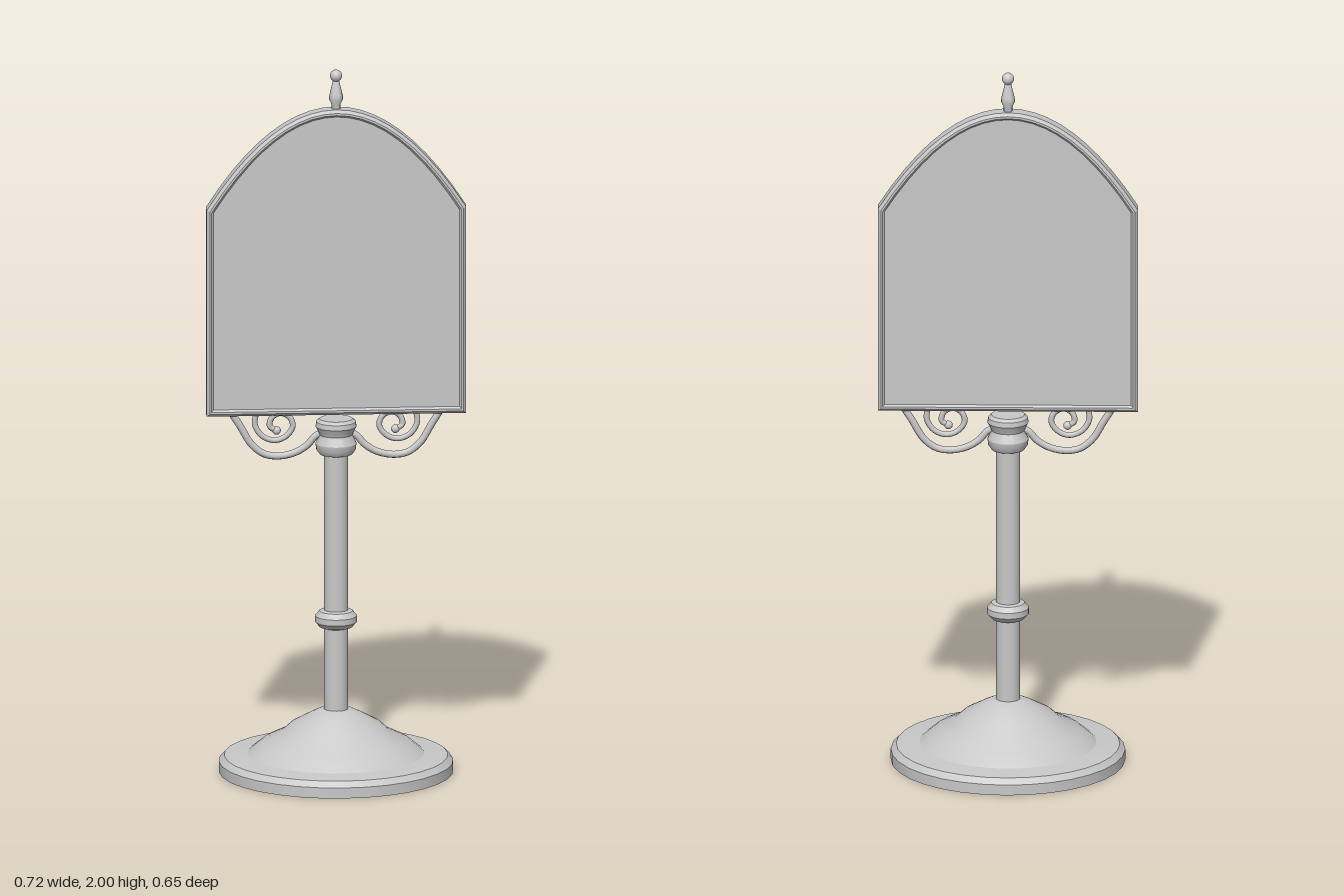
import * as THREE from 'three';
import { toCreasedNormals } from 'three/addons/utils/BufferGeometryUtils.js';

const grey = new THREE.MeshStandardMaterial({ color: 0xc8c8c8 });
grey.name = 'grey metal';

function part(name, geometry) {
  const mesh = new THREE.Mesh(geometry, grey);
  mesh.name = name;
  return mesh;
}

// Turned part from [radius, height] pairs, listed bottom to top
function turned(name, profile, segments = 32, crease = 0.55) {
  const points = profile.map(([r, y]) => new THREE.Vector2(r, y));
  return part(name, toCreasedNormals(new THREE.LatheGeometry(points, segments), crease));
}

// Outline with straight sides and a pointed-shoulder arch
function arch(Type, halfWidth, bottom, shoulder, top) {
  const outline = new Type();
  outline.moveTo(-halfWidth, bottom);
  outline.lineTo(halfWidth, bottom);
  outline.lineTo(halfWidth, shoulder);
  outline.quadraticCurveTo(0, 2 * top - shoulder, -halfWidth, shoulder);
  outline.lineTo(-halfWidth, bottom);
  return outline;
}

function tube(name, points, radius) {
  const curve = new THREE.CatmullRomCurve3(points.map(([x, y]) => new THREE.Vector3(x, y, 0)));
  return part(name, new THREE.TubeGeometry(curve, 48, radius, 8));
}

export function createModel() {
  const group = new THREE.Group();
  group.name = 'signStand';

  // Flared foot
  group.add(turned('base', [
    [0, 0], [0.325, 0], [0.325, 0.03], [0.31, 0.046], [0.245, 0.052], [0.205, 0.085],
    [0.15, 0.112], [0.125, 0.135], [0.07, 0.165], [0.045, 0.177], [0, 0.178],
  ]));

  // Post, its ring and the capital
  const post = part('post', new THREE.CylinderGeometry(0.033, 0.033, 0.78, 24));
  post.position.y = 0.55;
  group.add(post);
  group.add(turned('postRing', [
    [0.033, 0.408], [0.046, 0.412], [0.058, 0.426], [0.058, 0.443], [0.046, 0.457], [0.033, 0.46],
  ]));
  group.add(turned('capital', [
    [0, 0.905], [0.046, 0.905], [0.055, 0.918], [0.057, 0.935], [0.05, 0.95], [0.046, 0.96],
    [0.05, 0.97], [0.057, 0.983], [0.055, 0.997], [0.046, 1.005], [0, 1.005],
  ]));

  // Bevelled frame with an opening
  const frameShape = arch(THREE.Shape, 0.352, 1.028, 1.606, 1.882);
  frameShape.holes.push(arch(THREE.Path, 0.347, 1.034, 1.603, 1.876));
  const frame = new THREE.ExtrudeGeometry(frameShape, {
    depth: 0.04, bevelThickness: 0.01, bevelSize: 0.008, bevelSegments: 1, curveSegments: 20,
  });
  frame.translate(0, 0, -0.02);
  group.add(part('frame', toCreasedNormals(frame, 0.4)));

  // Flat panel, visible from both sides
  const panel = new THREE.ExtrudeGeometry(arch(THREE.Shape, 0.35, 1.03, 1.605, 1.88), {
    depth: 0.046, bevelEnabled: false, curveSegments: 20,
  });
  panel.translate(0, 0, -0.023);
  group.add(part('panel', panel));

  // Scroll brackets on both sides of the capital
  for (const side of [1, -1]) {
    const bracket = new THREE.Group();
    bracket.name = side > 0 ? 'leftBracket' : 'rightBracket';
    const mirror = (points) => points.map(([x, y]) => [x * side, y]);
    bracket.add(tube('arm', mirror([
      [0.29, 1.025], [0.265, 0.985], [0.235, 0.935], [0.2, 0.907], [0.16, 0.9],
      [0.115, 0.909], [0.08, 0.93], [0.058, 0.955], [0.04, 0.965],
    ]), 0.01));
    bracket.add(tube('scroll', mirror([
      [0.222, 1.025], [0.225, 0.99], [0.205, 0.958], [0.17, 0.945], [0.138, 0.957],
      [0.12, 0.985], [0.13, 1.012], [0.155, 1.022], [0.178, 1.01], [0.184, 0.985], [0.165, 0.973],
    ]), 0.008));
    const tip = part('scrollTip', new THREE.SphereGeometry(0.012, 12, 8));
    tip.position.set(0.165 * side, 0.973, 0);
    bracket.add(tip);
    group.add(bracket);
  }

  // Finial on top of the arch
  group.add(turned('finial', [
    [0.012, 1.88], [0.012, 1.9], [0.02, 1.918], [0.018, 1.93], [0.009, 1.968], [0, 1.972],
  ], 16, 0.9));
  const ball = part('finialBall', new THREE.SphereGeometry(0.017, 16, 12));
  ball.position.y = 1.983;
  group.add(ball);

  return group;
}
